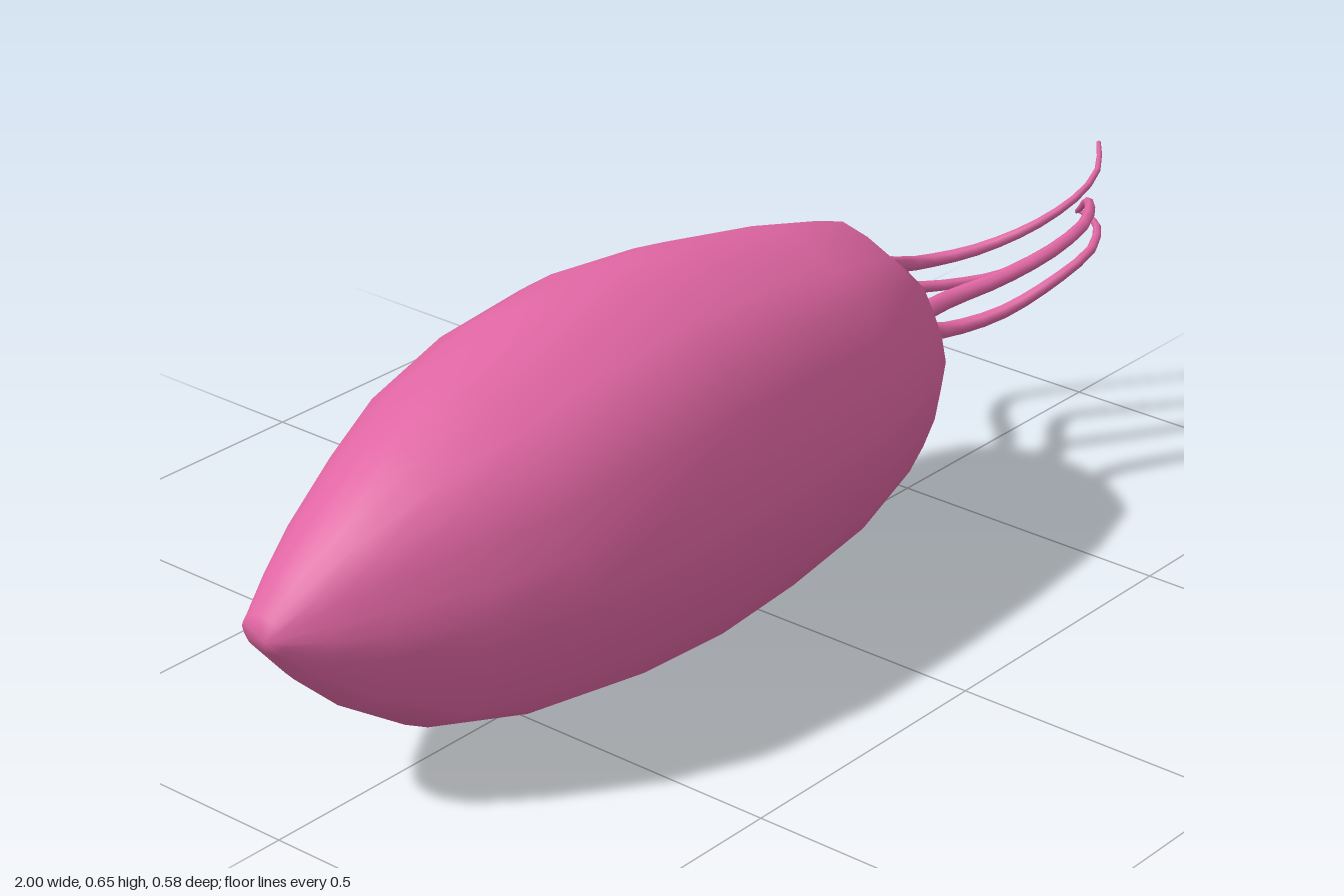
import * as THREE from 'three';
import { mergeVertices } from 'three/addons/utils/BufferGeometryUtils.js';

const MID_Y = 0.326;

// Body cross-sections along x: [x, half height, back z, front z]
const RINGS = [
  [-1, 0, -0.01, -0.01], [-0.985, 0.03, -0.07, 0.015], [-0.94, 0.088, -0.092, 0.065],
  [-0.87, 0.155, -0.122, 0.125], [-0.75, 0.234, -0.17, 0.208], [-0.61, 0.274, -0.238, 0.267],
  [-0.42, 0.308, -0.285, 0.287], [-0.23, 0.325, -0.294, 0.285], [-0.05, 0.311, -0.272, 0.275],
  [0.14, 0.279, -0.23, 0.256], [0.3, 0.235, -0.197, 0.215], [0.385, 0.165, -0.172, 0.16],
  [0.44, 0.095, -0.145, 0.09], [0.475, 0.04, -0.095, 0.035], [0.483, 0, -0.03, -0.03],
];

// Quarter of the section outline, from the top to the side: [across, up]
const QUARTER = [[0, 1], [0.25, 0.945], [0.49, 0.85], [0.71, 0.715], [0.84, 0.485], [0.945, 0.25], [1, 0]];

// Full outline made by mirroring the quarter
function sectionOutline() {
  const half = [...QUARTER, ...QUARTER.slice(0, -1).reverse().map(([a, b]) => [a, -b])];
  return [...half, ...half.slice(1, -1).reverse().map(([a, b]) => [-a, b])];
}

function bodyGeometry() {
  const outline = sectionOutline();
  const n = outline.length;
  const points = [];
  const index = [];
  for (const [x, h, back, front] of RINGS) {
    for (const [a, b] of outline) {
      const z = (back + front) / 2 + a * (front - back) / 2;
      points.push(x, MID_Y + b * h, z);
    }
  }
  for (let i = 0; i < RINGS.length - 1; i++) {
    for (let j = 0; j < n; j++) {
      const a = i * n + j, b = i * n + (j + 1) % n;
      index.push(a, b, a + n, b, b + n, a + n);
    }
  }
  let geo = new THREE.BufferGeometry();
  geo.setAttribute('position', new THREE.Float32BufferAttribute(points, 3));
  geo.setIndex(index);
  geo = mergeVertices(geo, 1e-4);
  geo.computeVertexNormals();
  return geo;
}

// Tube that thins from root to tip
function taperedTube(points, rootRadius, tipRadius) {
  const steps = 18, sides = 7;
  const path = new THREE.CatmullRomCurve3(points.map((p) => new THREE.Vector3(...p)));
  const geo = new THREE.TubeGeometry(path, steps, 1, sides);
  const pos = geo.attributes.position;
  const v = new THREE.Vector3();
  for (let i = 0; i <= steps; i++) {
    const t = i / steps;
    const centre = path.getPointAt(t);
    const r = THREE.MathUtils.lerp(rootRadius, tipRadius, t);
    for (let j = 0; j <= sides; j++) {
      const k = i * (sides + 1) + j;
      v.fromBufferAttribute(pos, k).sub(centre).multiplyScalar(r).add(centre);
      pos.setXYZ(k, v.x, v.y, v.z);
    }
  }
  return geo;
}

// Centre lines of the trailing strands
const STRANDS = {
  backStrand: [[0.43, 0.34, -0.08], [0.52, 0.328, -0.108], [0.61, 0.288, -0.155], [0.7, 0.256, -0.172],
    [0.79, 0.246, -0.13], [0.87, 0.26, -0.07], [0.94, 0.31, -0.01], [1, 0.36, 0.015]],
  upperStrand: [[0.41, 0.415, -0.02], [0.48, 0.406, -0.045], [0.56, 0.375, -0.075], [0.64, 0.35, -0.085],
    [0.72, 0.362, -0.03], [0.8, 0.4, 0.035], [0.88, 0.44, 0.068], [0.94, 0.466, 0.062], [1, 0.485, 0.02]],
  lowerStrand: [[0.44, 0.298, 0.015], [0.52, 0.285, -0.002], [0.6, 0.265, 0.005], [0.68, 0.283, 0.055],
    [0.76, 0.332, 0.108], [0.83, 0.37, 0.13], [0.89, 0.38, 0.1], [0.95, 0.368, 0.04], [1, 0.347, -0.015]],
  frontStrand: [[0.4, 0.382, 0.085], [0.49, 0.385, 0.09], [0.57, 0.403, 0.128], [0.65, 0.437, 0.172],
    [0.73, 0.461, 0.181], [0.8, 0.461, 0.145], [0.87, 0.435, 0.09], [0.94, 0.385, 0.03], [1, 0.345, -0.02]],
};

export function createModel() {
  const pink = new THREE.MeshStandardMaterial({ color: 0xe066a3 });
  pink.name = 'pink';
  const model = new THREE.Group();
  model.name = 'model';

  const body = new THREE.Mesh(bodyGeometry(), pink);
  body.name = 'body';
  model.add(body);

  const strands = new THREE.Group();
  strands.name = 'trailingStrands';
  for (const [name, points] of Object.entries(STRANDS)) {
    const strand = new THREE.Mesh(taperedTube(points, 0.017, 0.004), pink);
    strand.name = name;
    strands.add(strand);
    // Round end hidden in the body
    const root = new THREE.Mesh(new THREE.SphereGeometry(0.017, 8, 6), pink);
    root.name = name + 'Root';
    root.position.set(...points[0]);
    strands.add(root);
  }
  model.add(strands);
  return model;
}
